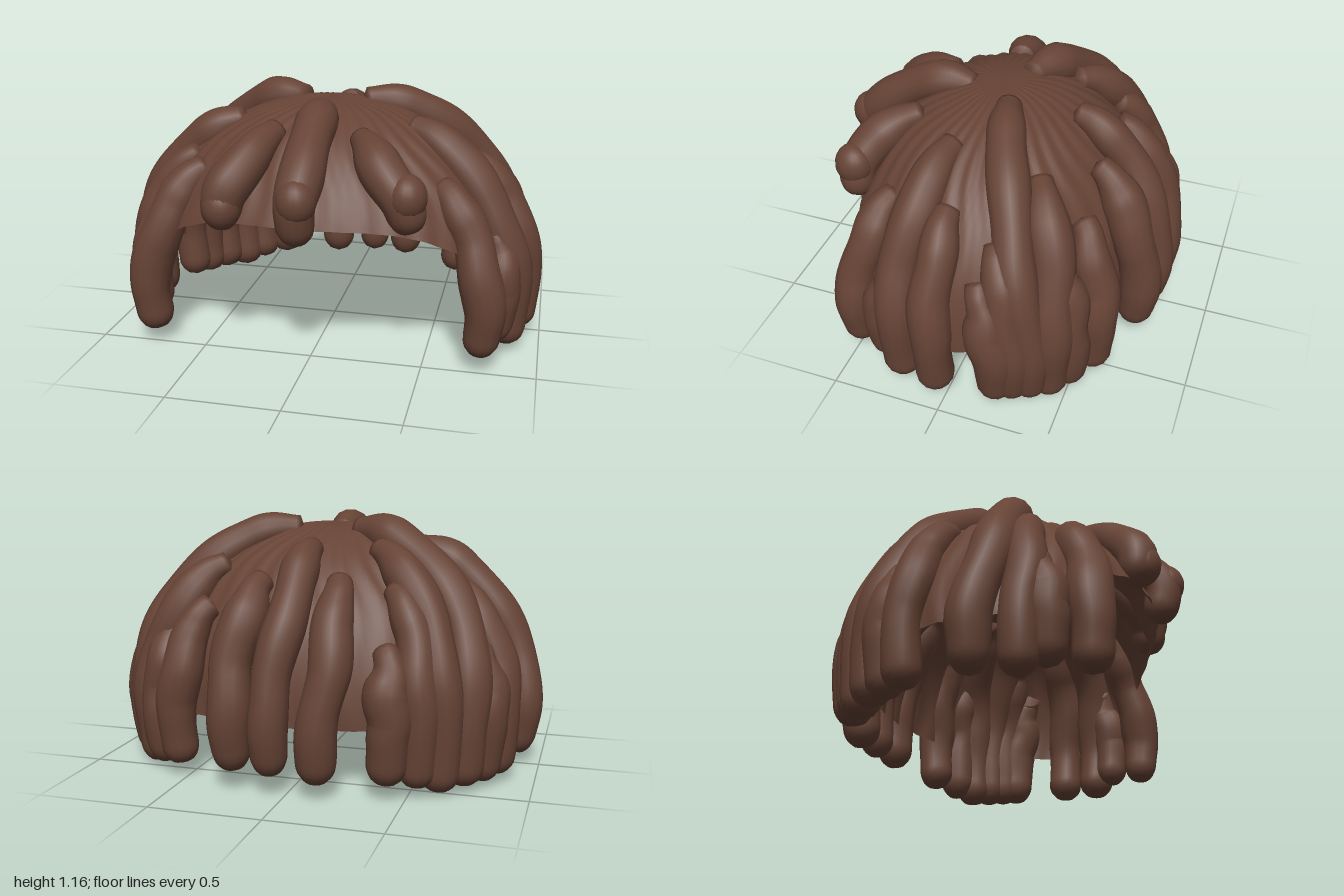
import * as THREE from 'three';
import { mergeVertices } from 'three/addons/utils/BufferGeometryUtils.js';

const BASE_Y = 0.28;                       // widest level of the hair
const CAP = { x: 0.9, y: 0.825, z: 0.71, cz: 0.045 };
const FLOW = { x: 0.91, y: 0.83, z: 0.735, cz: 0 };  // ellipsoid the locks follow

function smooth(geometry) {
  geometry.deleteAttribute('uv');
  geometry.deleteAttribute('normal');
  const merged = mergeVertices(geometry, 1e-5);
  merged.computeVertexNormals();
  return merged;
}

// Domed cap: low rim at the back and sides, raised arch over the forehead
function capGeometry() {
  const g = new THREE.SphereGeometry(1, 180, 40, 0, Math.PI * 2, 0, Math.PI / 2);
  const p = g.attributes.position;
  for (let i = 0; i < p.count; i++) {
    const az = Math.atan2(p.getZ(i), p.getX(i));
    const t = Math.acos(Math.min(1, Math.max(0, p.getY(i)))) / (Math.PI / 2);
    const rim = 0.38 * THREE.MathUtils.smoothstep(Math.sin(az), 0.1, 1);
    const phi = t * Math.acos(rim / CAP.y);
    // fine waving strands
    const k = 1 + 0.005 * Math.min(1, phi * 2) * Math.sin(36 * az + 1.5 * Math.sin(phi * 8));
    p.setXYZ(i,
      CAP.x * k * Math.sin(phi) * Math.cos(az),
      BASE_Y + CAP.y * k * Math.cos(phi),
      CAP.cz + CAP.z * k * Math.sin(phi) * Math.sin(az));
  }
  return smooth(g);
}

// Tube with a narrow blunt root, uneven thickness and a rounded tip
function lockGeometry(points, radius, seed) {
  const curve = new THREE.CatmullRomCurve3(points);
  const length = curve.getLength();
  const rings = Math.max(24, Math.round(length / 0.018));
  const sides = 14;
  const g = new THREE.TubeGeometry(curve, rings, 1, sides);
  const p = g.attributes.position;
  const v = new THREE.Vector3();
  for (let i = 0; i <= rings; i++) {
    const s = (i / rings) * length;
    const c = curve.getPointAt(i / rings);
    const root = 0.6 + 0.4 * THREE.MathUtils.smoothstep(s, 0, 0.22);
    const taper = 1 - 0.1 * THREE.MathUtils.smoothstep(s / length, 0.6, 1);
    const left = Math.min(1, (length - s) / radius);
    const tip = Math.sqrt(Math.max(0, 1 - (1 - left) ** 2));
    const lump = 1 + 0.05 * Math.sin(s * 15 + seed * 2.3);
    const r = i === 0 ? 0 : radius * root * taper * tip * lump;
    for (let j = 0; j <= sides; j++) {
      const n = i * (sides + 1) + j;
      v.fromBufferAttribute(p, n).sub(c).multiplyScalar(r).add(c);
      p.setXYZ(n, v.x, v.y, v.z);
    }
  }
  return smooth(g);
}

// Path over the dome from a root (x, z) to the widest level, then down to endY.
// flare pushes the lower part outward.
function flowPath(sx, sz, ex, ez, endY, flare = 1) {
  const a0 = Math.atan2((sz - FLOW.cz) / FLOW.z, sx / FLOW.x);
  const a1 = Math.atan2((ez - FLOW.cz) / FLOW.z, ex / FLOW.x);
  const turn = Math.atan2(Math.sin(a1 - a0), Math.cos(a1 - a0));
  const phi0 = Math.asin(Math.min(0.98, Math.hypot(sx / FLOW.x, (sz - FLOW.cz) / FLOW.z)));
  const points = [];
  const add = (a, rho, y) => points.push(new THREE.Vector3(
    FLOW.x * rho * Math.cos(a), y, FLOW.cz + FLOW.z * rho * Math.sin(a)));
  for (let i = 0; i <= 8; i++) {
    const t = i / 8;
    const phi = phi0 + (Math.PI / 2 - phi0) * t;
    const sink = i === 0 ? 0.97 : 1 + (flare - 1) * t;
    const wave = 0.015 * Math.sin(Math.PI * 3 * t + ex * 9) * t * (1 - t) * 4;
    add(a0 + turn * t + wave, Math.sin(phi) * sink, BASE_Y + FLOW.y * Math.cos(phi) * sink);
  }
  add(a1, 0.99 * flare, (BASE_Y + endY) / 2 + 0.02);
  add(a1, 0.965 * flare, endY);
  return points;
}

// Root x, z, tip x, z, tip height, optional flare
const SIDE_AND_BACK = [
  [0.55, 0.35, 0.77, 0.485, 0.07, 1.07], [0.38, 0.13, 0.87, 0.23, 0.03],
  [0.77, 0.27, 0.84, 0.33, 0.08], [0.64, 0.06, 0.9, 0.05, 0.04],
  [0.81, -0.13, 0.86, -0.22, 0.03],
  [0.7, -0.17, 0.84, -0.29, 0.02], [0.13, -0.03, 0.8, -0.36, 0.01],
  [0.42, -0.27, 0.75, -0.44, 0.0], [0.6, -0.42, 0.68, -0.51, 0.02],
  [0.43, -0.47, 0.56, -0.59, 0.05], [0.18, -0.46, 0.25, -0.7, 0.08],
  [0, -0.3, 0.07, -0.73, 0.08], [-0.17, -0.46, -0.14, -0.73, 0.06],
  [-0.4, -0.58, -0.43, -0.65, 0.06], [-0.4, -0.4, -0.56, -0.6, 0.04],
  [-0.28, -0.22, -0.64, -0.53, 0.01], [-0.13, -0.04, -0.72, -0.44, 0.02],
  [-0.62, -0.15, -0.85, -0.27, 0.03], [-0.74, -0.3, -0.8, -0.36, 0.02],
  [-0.4, 0.1, -0.9, 0.03, 0.04], [-0.6, 0.2, -0.87, 0.22, 0.03],
  [-0.77, 0.27, -0.84, 0.33, 0.08], [-0.52, 0.35, -0.76, 0.495, 0.06, 1.07],
];

// Short curled locks over the forehead
const FRINGE = [
  [[0, 1.04, 0.17], [0, 1.06, 0.3], [0, 0.99, 0.48], [0, 0.88, 0.63], [-0.01, 0.78, 0.71], [-0.01, 0.6, 0.68]],
  [[-0.18, 1.0, 0.34], [-0.22, 0.97, 0.44], [-0.28, 0.88, 0.56], [-0.34, 0.78, 0.63], [-0.36, 0.62, 0.62]],
  [[0.19, 0.99, 0.35], [0.25, 0.96, 0.44], [0.33, 0.88, 0.54], [0.41, 0.79, 0.59], [0.46, 0.65, 0.58]],
];
const CURLS = [[0, 0.8, 0.725], [-0.345, 0.73, 0.65], [0.435, 0.81, 0.6]];

export function createModel() {
  const group = new THREE.Group();
  group.name = 'hair';
  const brown = new THREE.MeshStandardMaterial({ color: 0x664335, side: THREE.DoubleSide });
  brown.name = 'brown hair';

  const add = (name, geometry) => {
    const mesh = new THREE.Mesh(geometry, brown);
    mesh.name = name;
    group.add(mesh);
    return mesh;
  };

  add('cap', capGeometry());

  SIDE_AND_BACK.forEach((lock, i) => {
    const radius = 0.092 + 0.005 * Math.sin(i * 2.1);
    add('lock' + (i + 1), lockGeometry(flowPath(...lock), radius, i));
  });

  FRINGE.forEach((path, i) => {
    add('fringeLock' + (i + 1),
      lockGeometry(path.map((q) => new THREE.Vector3(...q)), 0.095, i));
    const curl = add('fringeCurl' + (i + 1), new THREE.SphereGeometry(0.09, 20, 14));
    curl.scale.set(0.95, 1.1, 1);
    curl.position.set(...CURLS[i]);
  });

  return group;
}
